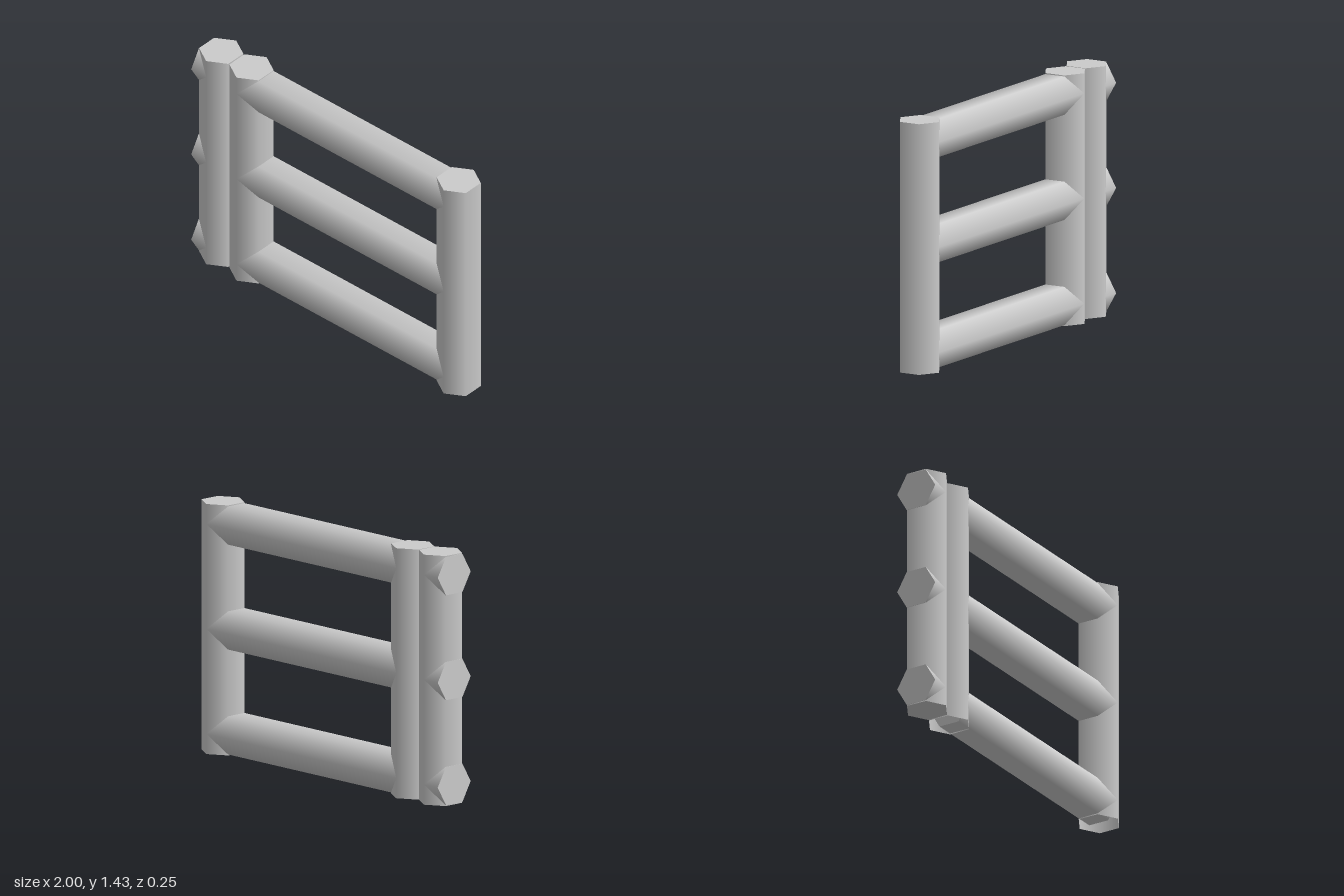
import * as THREE from 'three';

const R = 0.126;       // hexagon corner radius, corners point along z
const HEIGHT = 1.43;

export function createModel() {
  const group = new THREE.Group();
  const solid = new THREE.MeshStandardMaterial({ color: 0xcccccc });
  const open = new THREE.MeshStandardMaterial({ color: 0xcccccc, side: THREE.DoubleSide });

  // Six-sided bar with smooth sides and flat ends
  const bar = (name, length, material = solid, openEnded = false) => {
    const geometry = new THREE.CylinderGeometry(R, R, length, 6, 1, openEnded);
    const mesh = new THREE.Mesh(geometry, material);
    mesh.name = name;
    group.add(mesh);
    return mesh;
  };

  // Hinge post, closed at both ends
  bar('hingePost', HEIGHT).position.set(-0.888, HEIGHT / 2, 0);

  // Gate posts: capped on top, hollow underneath
  for (const [name, x] of [['gatePostRight', -0.661], ['gatePostLeft', 0.889]]) {
    bar(name, HEIGHT, open, true).position.set(x, HEIGHT / 2, 0);
    const cap = new THREE.Mesh(new THREE.CircleGeometry(R, 6, Math.PI / 2), solid);
    cap.name = name + 'Cap';
    cap.rotation.x = -Math.PI / 2;
    cap.position.set(x, HEIGHT, 0);
    group.add(cap);
  }

  // Horizontal bar between two x positions
  const rail = (name, x0, x1, y) => {
    const mesh = bar(name, x1 - x0);
    mesh.rotation.z = Math.PI / 2;
    mesh.position.set((x0 + x1) / 2, y, 0);
  };

  // Three rails, each with a matching stub on the hinge post
  [0.115, 0.715, 1.315].forEach((y, i) => {
    rail(`rail${i + 1}`, -0.661, 0.889, y);
    rail(`stub${i + 1}`, -1, -0.888, y);
  });

  return group;
}
